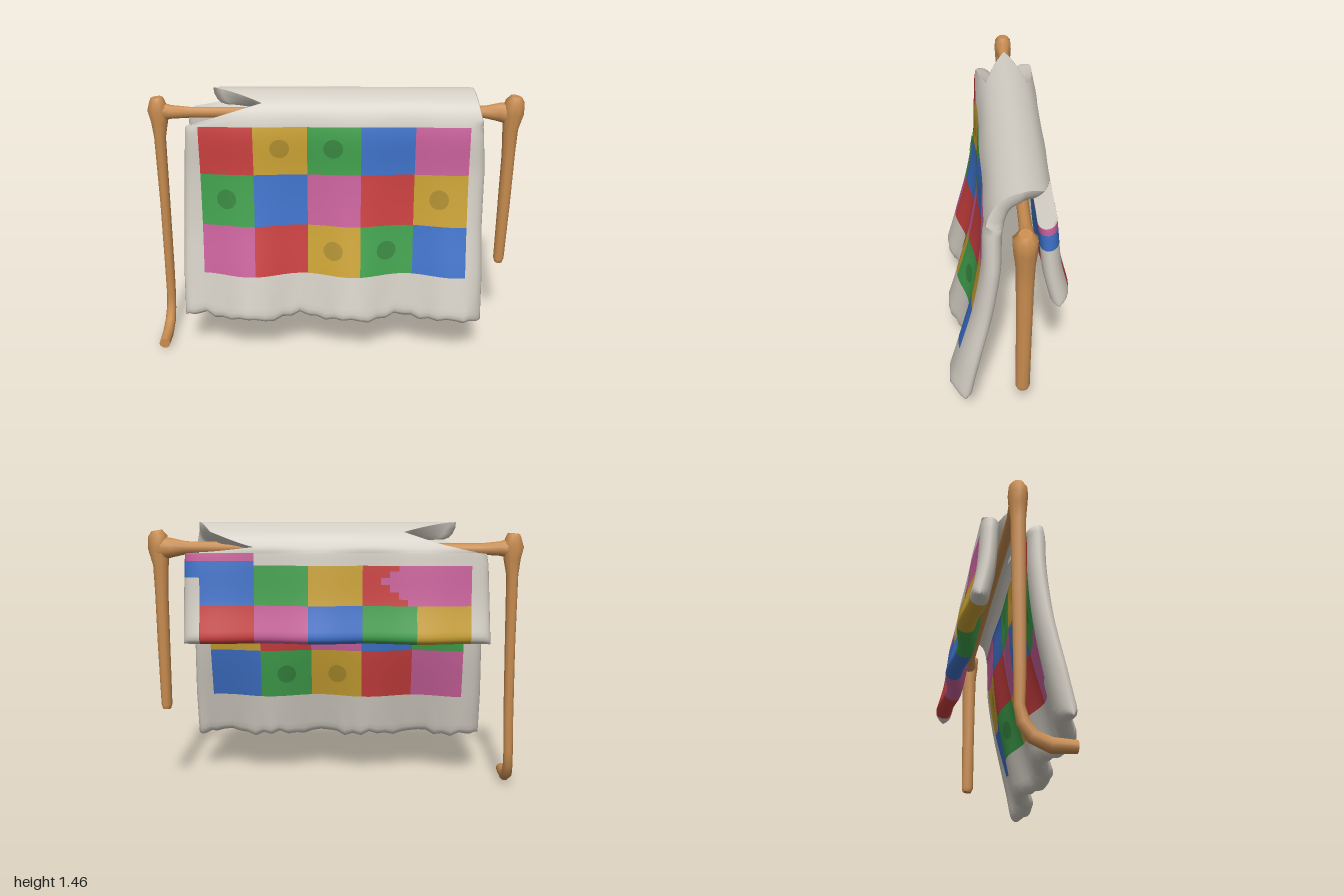
import * as THREE from 'three';
import { mergeVertices } from 'three/addons/utils/BufferGeometryUtils.js';

const material = (name, color) => {
  const m = new THREE.MeshStandardMaterial({ color });
  m.name = name;
  return m;
};

// Quilt stations from the front hem, over the rail, to the back hem:
// y, z, left edge x, right edge x, fold depth
const STATIONS = [
  [0.243, 0.222, -0.825, 0.80, 0.040],
  [0.492, 0.167, -0.825, 0.80, 0.031],
  [0.762, 0.108, -0.815, 0.79, 0.019],
  [1.045, 0.071, -0.80, 0.79, 0.008],
  [1.297, 0.060, -0.78, 0.77, 0.003],
  [1.388, 0.020, -0.38, 0.74, 0],
  [1.424, -0.06, -0.64, 0.72, 0],
  [1.390, -0.138, -0.36, 0.65, 0],
  [1.332, -0.173, -0.62, 0.42, 0],
  [1.312, -0.177, -0.79, 0.78, 0.003],
  [1.25, -0.183, -0.80, 0.785, 0.005],
  [1.04, -0.203, -0.81, 0.79, 0.010],
  [0.847, -0.246, -0.815, 0.79, 0.016],
];
const LAST = STATIONS.length - 1;
const HALF = 0.046; // half the padding thickness
const X0 = -0.71, CELL = 0.282, X1 = X0 + 5 * CELL;
const spine = new THREE.CatmullRomCurve3(STATIONS.map(([y, z]) => new THREE.Vector3(0, y, z)));

const station = (v, k) => {
  const i = Math.min(Math.floor(v), LAST - 1);
  return THREE.MathUtils.lerp(STATIONS[i][k], STATIONS[i + 1][k], v - i);
};
const round = (d) => Math.sqrt(Math.max(0, 1 - (1 - Math.min(Math.max(d, 0), 1)) ** 2));
const onFold = (v) => v > 4.001 && v < 8.999;

// Point on the outer (side 1) or inner (side -1) face of the quilt
function quiltPoint(v, x, side, lift = 0) {
  const p = spine.getPoint(v / LAST);
  const t = spine.getTangent(v / LAST);
  const edge = round(Math.min(x - station(v, 2), station(v, 3) - x) / 0.07);
  const hem = round(Math.min(v, LAST - v) / 0.18);
  let off = side * HALF * edge * hem;
  if (onFold(v)) off = side > 0 ? HALF : HALF * (1 - 2 * edge); // torn edge thins to the top skin
  off += side * lift;
  const wave = Math.cos((x - 0.1) * Math.PI * 2 / 0.55) * station(v, 4);
  const ruffle = Math.max(0, 1 - v / 0.7);
  return new THREE.Vector3(
    x,
    p.y - t.z * off + ruffle * (0.010 * Math.sin(23 * x) + 0.009 * Math.sin(61 * x + 1)),
    p.z + t.y * off + (v < 6 ? wave : -wave) + ruffle * 0.005 * Math.sin(47 * x)
  );
}

// Patch colours by station, left to right in x
const R = 1, Y = 2, G = 3, B = 4, P = 5;
const PATCHES = {
  1: [P, R, Y, G, B], 2: [G, B, P, R, Y], 3: [R, Y, G, B, P],
  10: [P, R, Y, G, B], 11: [Y, G, B, P, R],
};

// Cloth colour at station v and column c (whole numbers are patch seams)
function clothColour(v, c) {
  if (v > 9 && v < 10 && c > 4) return v < 9.6 ? P : B; // folded back corner
  if (v > 10 && v < 10.4 && c > 5) return B;
  if (v > 10 && v < 11 && c > 1 && c < 1.65 - Math.abs(v - 10.45)) return P; // overlapping patch
  const row = PATCHES[Math.floor(v)];
  return row && c > 0 && c < 5 ? row[Math.floor(c)] : 0;
}

function makeQuilt(materials) {
  // Column and row positions, finer at the rounded borders
  const cols = [];
  const margin = [0, 0.05, 0.2, 0.4, 0.7];
  margin.forEach((m) => cols.push([-1, m]));
  for (let i = 0; i <= 30; i++) cols.push([0, X0 + i * CELL / 6]);
  [...margin].reverse().forEach((m) => cols.push([1, m]));
  const rows = [0, 0.01, 0.04, 0.09, 0.18, 0.3];
  for (let i = 3; i < (LAST - 0.5) * 6; i++) rows.push(i / 6);
  [0.5, 0.3, 0.18, 0.09, 0.04, 0.01, 0].forEach((d) => rows.push(LAST - d));

  const columnX = (v, [kind, a]) => {
    const L = station(v, 2), E = station(v, 3);
    const fold = onFold(v);
    const base0 = fold ? -0.82 : L, base1 = fold ? 0.79 : E;
    const x = kind < 0 ? base0 + (X0 - base0) * a : kind > 0 ? base1 + (X1 - base1) * a : a;
    return fold ? L + (x - base0) / (base1 - base0) * (E - L) : x;
  };

  const positions = [];
  for (const side of [1, -1])
    for (const v of rows)
      for (const c of cols) positions.push(...quiltPoint(v, columnX(v, c), side).toArray());

  // Sort the faces into one bucket per cloth colour
  const buckets = materials.map(() => []);
  const n = cols.length, total = n * rows.length;
  for (let s = 0; s < 2; s++)
    for (let j = 0; j < rows.length - 1; j++)
      for (let i = 0; i < n - 1; i++) {
        const bucket = buckets[clothColour((rows[j] + rows[j + 1]) / 2, (i + 0.5 - margin.length) / 6)];
        const a = s * total + j * n + i, b = a + 1, c = b + n, d = a + n;
        bucket.push(...(s ? [a, c, b, a, d, c] : [a, b, c, a, c, d]));
      }
  let g = new THREE.BufferGeometry();
  g.setAttribute('position', new THREE.Float32BufferAttribute(positions, 3));
  g.setIndex(buckets.flat());
  let start = 0;
  buckets.forEach((b, k) => { g.addGroup(start, b.length, k); start += b.length; });
  g = mergeVertices(g, 1e-5);
  g.computeVertexNormals();
  const mesh = new THREE.Mesh(g, materials);
  mesh.name = 'patchworkQuilt';
  return mesh;
}

// Thin round spot that follows the cloth
function makeSpot(x, v, side, mat) {
  const g = new THREE.RingGeometry(0, 0.052, 14, 3);
  const p = g.attributes.position;
  for (let i = 0; i < p.count; i++) {
    const q = quiltPoint(v + p.getY(i) / 0.27, x + p.getX(i), side, 0.004);
    p.setXYZ(i, q.x, q.y, q.z);
  }
  g.computeVertexNormals();
  const mesh = new THREE.Mesh(g, mat);
  mesh.name = 'spot';
  return mesh;
}

// Carved limb through rings of [x, y, z, radius along ref, radius across]
function makeLimb(name, rings, ref, mat, sides = 10) {
  const pts = rings.map((r) => new THREE.Vector3(r[0], r[1], r[2]));
  const pos = [], idx = [];
  const ring = (i) => {
    const t = pts[Math.min(i + 1, pts.length - 1)].clone().sub(pts[Math.max(i - 1, 0)]).normalize();
    const b = t.clone().cross(ref).normalize(), a = b.clone().cross(t);
    for (let k = 0; k < sides; k++) {
      const w = k / sides * Math.PI * 2;
      pos.push(...pts[i].clone().addScaledVector(a, Math.cos(w) * rings[i][3])
        .addScaledVector(b, Math.sin(w) * rings[i][4]).toArray());
    }
  };
  pts.forEach((_, i) => ring(i));
  for (let i = 0; i < pts.length - 1; i++)
    for (let k = 0; k < sides; k++) {
      const a = i * sides + k, b = i * sides + (k + 1) % sides;
      idx.push(a, b + sides, b, a, a + sides, b + sides);
    }
  // Flat end caps with their own corners
  for (const end of [0, pts.length - 1]) {
    const base = pos.length / 3;
    ring(end);
    for (let k = 1; k < sides - 1; k++)
      idx.push(base, ...(end ? [base + k + 1, base + k] : [base + k, base + k + 1]));
  }
  const g = new THREE.BufferGeometry();
  g.setAttribute('position', new THREE.Float32BufferAttribute(pos, 3));
  g.setIndex(idx);
  g.computeVertexNormals();
  const mesh = new THREE.Mesh(g, mat);
  mesh.name = name;
  return mesh;
}

export function createModel() {
  const model = new THREE.Group();
  model.name = 'quiltOnRack';
  const wood = material('wood', 0xc98d50);
  wood.side = THREE.DoubleSide;
  const cloth = [
    material('linen', 0xd2cdc3), material('red', 0xc83e3e), material('yellow', 0xc8a032),
    material('green', 0x409f4c), material('blue', 0x3e71c8), material('pink', 0xc8609a),
  ];
  const darkYellow = material('darkYellow', 0xac8c2e), darkGreen = material('darkGreen', 0x37853f);
  darkYellow.side = darkGreen.side = THREE.DoubleSide;
  model.add(makeQuilt(cloth));

  // Spots on both faces of the front panel
  const spots = [[-0.29, 3.55, darkYellow], [-0.01, 3.55, darkGreen], [-0.575, 2.52, darkGreen],
    [0.55, 2.52, darkYellow], [-0.01, 1.5, darkYellow], [0.275, 1.5, darkGreen]];
  for (const [x, v, mat] of spots)
    for (const side of [1, -1]) model.add(makeSpot(x, v, side, mat));

  // Rack: long post with a foot, short post, and the rail under the quilt
  const X = new THREE.Vector3(1, 0, 0), UP = new THREE.Vector3(0, 1, 0);
  model.add(makeLimb('longPost', [
    [-0.945, 1.412, -0.07, 0.032, 0.028], [-0.943, 1.39, -0.07, 0.042, 0.046],
    [-0.943, 1.34, -0.07, 0.057, 0.05], [-0.94, 1.28, -0.07, 0.046, 0.046],
    [-0.944, 1.19, -0.07, 0.032, 0.038],
    [-0.946, 0.8, -0.07, 0.028, 0.035], [-0.952, 0.4, -0.07, 0.027, 0.03],
    [-0.957, 0.22, -0.075, 0.026, 0.026], [-0.96, 0.14, -0.06, 0.027, 0.032],
    [-0.963, 0.075, -0.018, 0.03, 0.034], [-0.965, 0.04, 0.06, 0.031, 0.037],
    [-0.965, 0.04, 0.175, 0.031, 0.03],
  ], X, wood));
  model.add(makeLimb('shortPost', [
    [0.95, 1.425, -0.062, 0.03, 0.03], [0.945, 1.395, -0.062, 0.052, 0.058],
    [0.942, 1.33, -0.063, 0.057, 0.056], [0.933, 1.24, -0.065, 0.042, 0.046],
    [0.934, 1.1, -0.065, 0.036, 0.042], [0.932, 0.8, -0.065, 0.034, 0.038],
    [0.928, 0.475, -0.065, 0.03, 0.036], [0.928, 0.45, -0.068, 0.022, 0.026],
  ], X, wood));
  model.add(makeLimb('rail', [
    [-0.94, 1.335, -0.07, 0.055, 0.045], [-0.87, 1.332, -0.07, 0.038, 0.034],
    [-0.77, 1.33, -0.07, 0.03, 0.027], [0, 1.33, -0.072, 0.03, 0.027],
    [0.79, 1.335, -0.075, 0.034, 0.03], [0.87, 1.335, -0.073, 0.052, 0.042],
    [0.935, 1.33, -0.068, 0.066, 0.05],
  ], UP, wood));
  return model;
}
